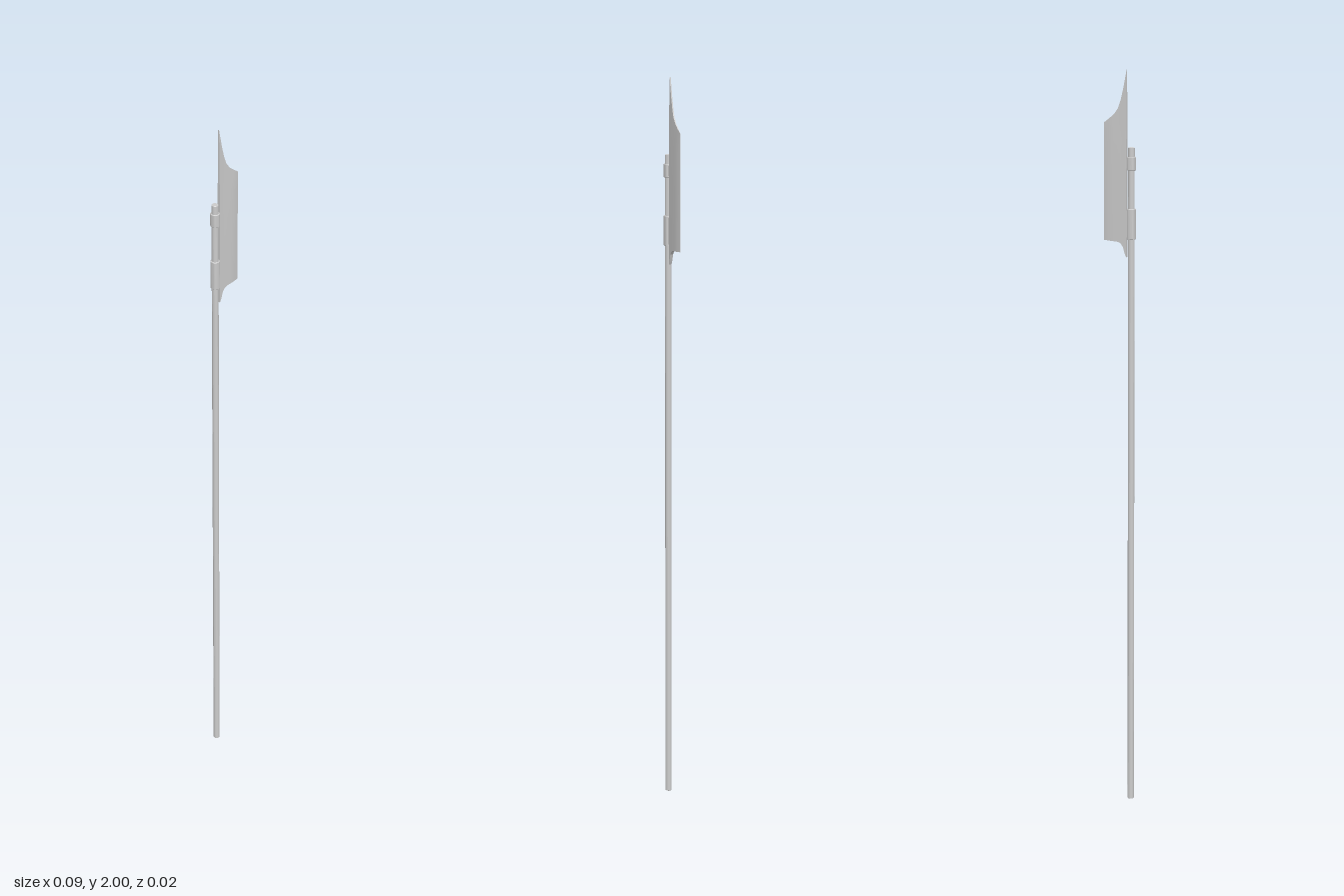
import * as THREE from 'three';
import { toCreasedNormals } from 'three/addons/utils/BufferGeometryUtils.js';

const POLE_X = -0.035;
const material = new THREE.MeshStandardMaterial({ color: 0xcccccc });

// Blade stations from spine to cutting edge: x, bottom y, top y, half thickness
const STATIONS = [
  [-0.022, 1.512, 2.0, 0.004],
  [-0.018, 1.52, 1.98, 0.004],
  [-0.012, 1.54, 1.95, 0.004],
  [-0.005, 1.549, 1.922, 0.004],
  [0.003, 1.552, 1.9, 0.004],
  [0.015, 1.553, 1.884, 0.0037],
  [0.029, 1.554, 1.873, 0.0033],
  [0.043, 1.555, 1.863, 0.0003],
];

// Round part standing on the pole axis, with small chamfers at both ends
function turned(name, radius, y0, y1, chamfer) {
  const profile = [
    [0, y0], [radius - chamfer, y0], [radius, y0 + chamfer],
    [radius, y1 - chamfer], [radius - chamfer, y1], [0, y1],
  ].map(([r, y]) => new THREE.Vector2(r, y));
  const geometry = toCreasedNormals(new THREE.LatheGeometry(profile, 24), 0.6);
  const mesh = new THREE.Mesh(geometry, material);
  mesh.name = name;
  mesh.position.x = POLE_X;
  return mesh;
}

// A subdivided box reshaped to the blade outline, thinning toward edge and point
function bladeGeometry() {
  const n = STATIONS.length - 1;
  const geometry = new THREE.BoxGeometry(1, 1, 1, n, 2, 1);
  const p = geometry.attributes.position;
  for (let i = 0; i < p.count; i++) {
    const [x, bottom, top, half] = STATIONS[Math.round((p.getX(i) + 0.5) * n)];
    const row = Math.round((p.getY(i) + 0.5) * 2);
    const y = [bottom, 1.82, top][row];
    const z = half * (row === 2 ? 0.4 : 1);
    p.setXYZ(i, x, y, Math.sign(p.getZ(i)) * z);
  }
  return toCreasedNormals(geometry, 0.3);
}

export function createModel() {
  const model = new THREE.Group();
  model.name = 'poleaxe';

  // Shaft and the two collars gripping it
  model.add(turned('shaft', 0.0088, 0, 1.8, 0.001));
  model.add(turned('lowerSocket', 0.012, 1.56, 1.64, 0.0012));
  model.add(turned('upperCollar', 0.012, 1.74, 1.776, 0.0012));

  // Tall blade along the side of the shaft
  const blade = new THREE.Mesh(bladeGeometry(), material);
  blade.name = 'blade';
  model.add(blade);

  // Short lugs joining the collars to the spine of the blade
  for (const [name, y0, y1] of [['lowerLug', 1.565, 1.635], ['upperLug', 1.745, 1.771]]) {
    const lug = new THREE.Mesh(new THREE.BoxGeometry(0.006, y1 - y0, 0.0076), material);
    lug.name = name;
    lug.position.set(-0.0235, (y0 + y1) / 2, 0);
    model.add(lug);
  }
  return model;
}
